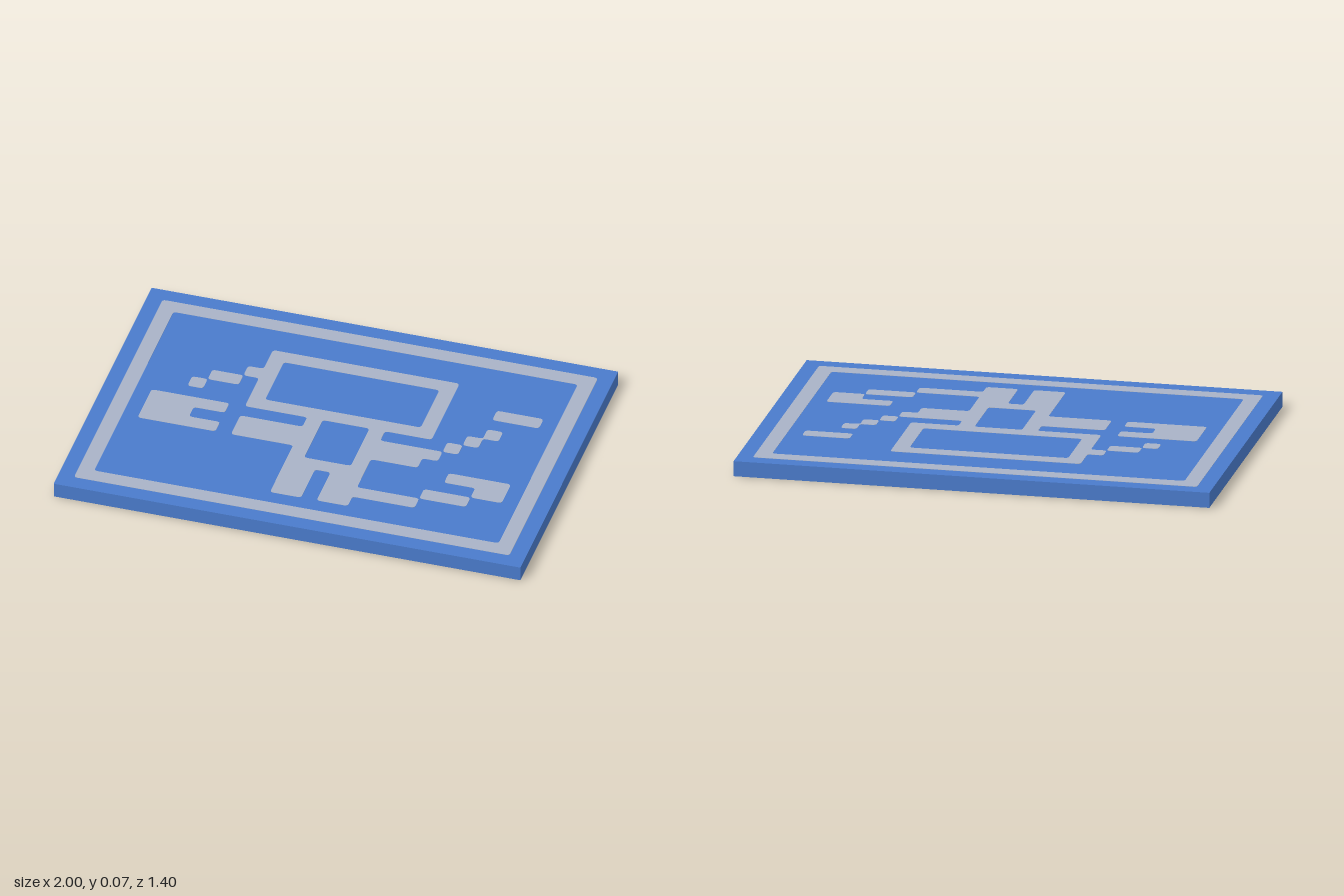
import * as THREE from 'three';

const CELL = 2 / 30;      // the badge is a 30 x 21 grid of square cells, one cell thick
const COLS = 30, ROWS = 21;
const PROUD = 0.001;      // how far the inlay stands out of the slab
const ROUND = 0.22;       // corner rounding, in cells

// Filled runs of the figure: row -> [from, to) column pairs
const FIGURE = {
  4: [[9, 21]],
  5: [[9, 10], [20, 21]],
  6: [[8, 10], [20, 21], [24, 27]],
  7: [[6, 8], [9, 10], [20, 21]],
  8: [[5, 6], [9, 10], [20, 21], [24, 25]],
  9: [[9, 21], [23, 24]],
  10: [[3, 8], [13, 14], [17, 18], [22, 23]],
  11: [[3, 6], [9, 14], [17, 22]],
  12: [[3, 8], [9, 14], [17, 21]],
  13: [[13, 14], [17, 18], [23, 27]],
  14: [[13, 18], [25, 27]],
  15: [[13, 15], [16, 18], [22, 25]],
  16: [[13, 15], [16, 22]],
  17: [[13, 15], [16, 18]],
};
// The head's lower edge continues into the shoulders
FIGURE[10].splice(1, 2, [13, 14], [14, 17], [17, 18]);
FIGURE[10].splice(2, 1);

// Border: one cell wide, one cell in from the edge
const BORDER = {};
for (let row = 1; row < ROWS - 1; row++) {
  BORDER[row] = row === 1 || row === ROWS - 2 ? [[1, 29]] : [[1, 2], [28, 29]];
}

// Walk round the filled cells and return closed outlines with rounded corners
function outlineShapes(runs) {
  const filled = new Set();
  for (const row in runs) {
    for (const [a, b] of runs[row]) for (let i = a; i < b; i++) filled.add(`${i},${row}`);
  }
  // Directed cell borders, keyed by start corner, with the filled side on the left
  const edges = new Map();
  const addEdge = (x, z, dx, dz) => {
    const key = `${x},${z}`;
    if (!edges.has(key)) edges.set(key, []);
    edges.get(key).push([dx, dz]);
  };
  for (const cell of filled) {
    const [i, j] = cell.split(',').map(Number);
    if (!filled.has(`${i},${j + 1}`)) addEdge(i, j + 1, 1, 0);
    if (!filled.has(`${i + 1},${j}`)) addEdge(i + 1, j + 1, 0, -1);
    if (!filled.has(`${i},${j - 1}`)) addEdge(i + 1, j, -1, 0);
    if (!filled.has(`${i - 1},${j}`)) addEdge(i, j, 0, 1);
  }

  const path = new THREE.ShapePath();
  const px = (x) => (x - COLS / 2) * CELL;
  const py = (z) => (ROWS / 2 - z) * CELL;
  for (const [key, list] of edges) {
    while (list.length) {
      // Follow one loop, keeping left where two cells touch at a corner
      let [x, z] = key.split(',').map(Number);
      let dir = list.pop();
      const first = dir;
      const corners = [];
      for (;;) {
        x += dir[0];
        z += dir[1];
        const options = edges.get(`${x},${z}`);
        let next = first;
        if (options.length) {
          const left = options.findIndex((d) => d[0] === dir[1] && d[1] === -dir[0]);
          next = options.splice(Math.max(left, 0), 1)[0];
        }
        if (next[0] !== dir[0] || next[1] !== dir[1]) corners.push([x, z, dir, next]);
        if (next === first) break;
        dir = next;
      }
      // Draw it, rounding each corner
      corners.forEach(([cx, cz, a, b], n) => {
        const sx = px(cx - a[0] * ROUND), sy = py(cz - a[1] * ROUND);
        if (n === 0) path.moveTo(sx, sy);
        else path.lineTo(sx, sy);
        path.quadraticCurveTo(px(cx), py(cz), px(cx + b[0] * ROUND), py(cz + b[1] * ROUND));
      });
      path.currentPath.closePath();
    }
  }
  return path.toShapes(true);
}

export function createModel() {
  const blue = new THREE.MeshStandardMaterial({ color: 0x4a7bcb });
  blue.name = 'blue';
  const grey = new THREE.MeshStandardMaterial({ color: 0xa8b2c6 });
  grey.name = 'light grey';

  const group = new THREE.Group();
  group.name = 'badge';

  // Slab
  const slab = new THREE.Mesh(
    new THREE.BoxGeometry(COLS * CELL, CELL - 2 * PROUD, ROWS * CELL), blue);
  slab.position.y = CELL / 2;
  slab.name = 'slab';
  group.add(slab);

  // Inlays run right through the slab and show on both faces
  for (const [name, runs] of [['borderInlay', BORDER], ['figureInlay', FIGURE]]) {
    const geometry = new THREE.ExtrudeGeometry(outlineShapes(runs), {
      depth: CELL, bevelEnabled: false, curveSegments: 3,
    });
    geometry.rotateX(-Math.PI / 2);
    const inlay = new THREE.Mesh(geometry, grey);
    inlay.name = name;
    group.add(inlay);
  }
  return group;
}
